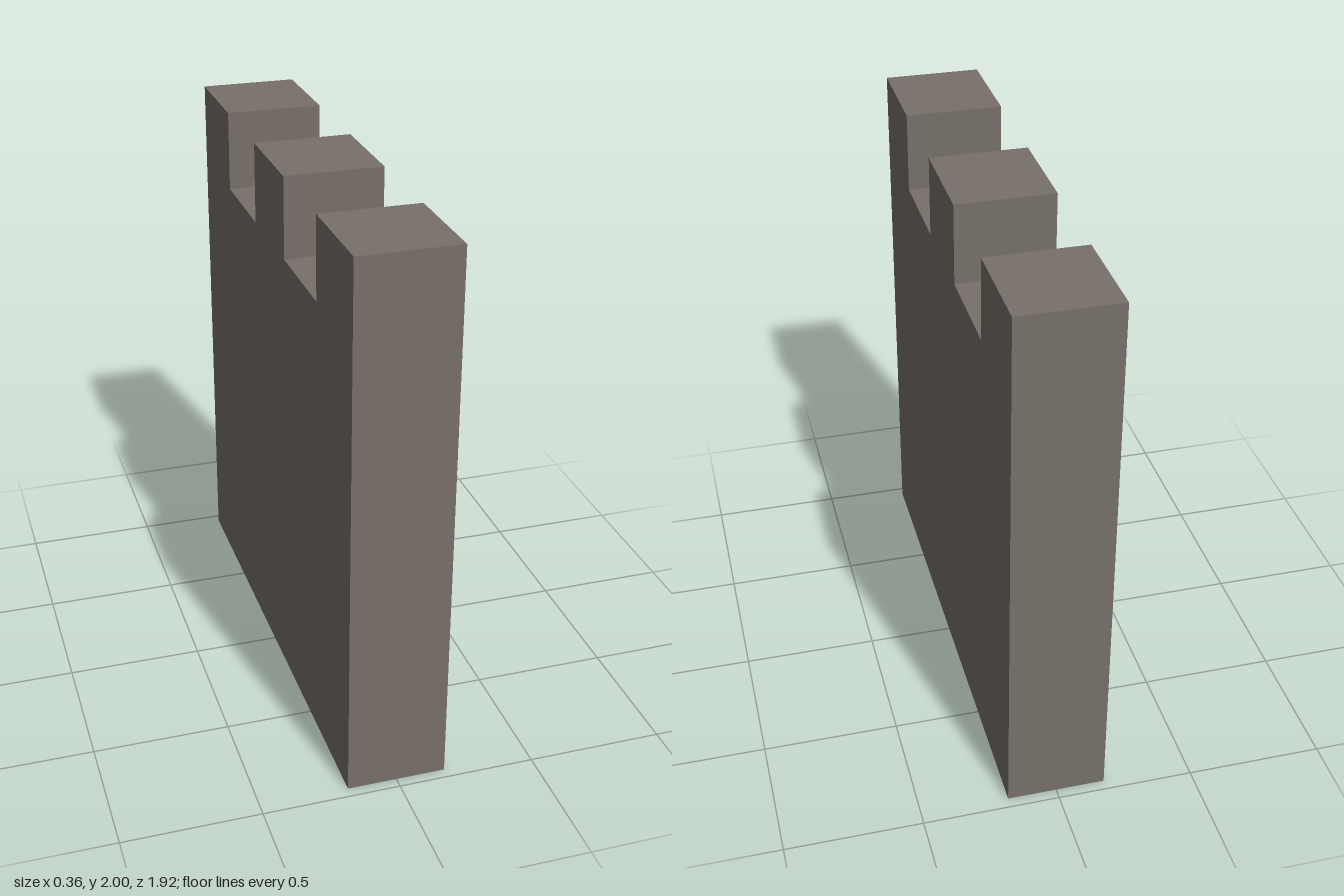
import * as THREE from 'three';

const THICKNESS = 0.36;
const LENGTH = 1.92;
const HEIGHT = 2;
const NOTCH_FLOOR = 1.7;
const BAYS = 5; // merlon, notch, merlon, notch, merlon

export function createModel() {
  const group = new THREE.Group();
  group.name = 'battlementWall';

  const stone = new THREE.MeshStandardMaterial({ color: 0x787069 });
  stone.name = 'stone';

  // Crenellated side profile: along the base, then back over the merlons
  const half = LENGTH / 2;
  const bay = LENGTH / BAYS;
  const profile = new THREE.Shape();
  profile.moveTo(-half, 0);
  profile.lineTo(half, 0);
  for (let i = 0; i < BAYS; i++) {
    const y = i % 2 === 0 ? HEIGHT : NOTCH_FLOOR;
    profile.lineTo(half - i * bay, y);
    profile.lineTo(half - (i + 1) * bay, y);
  }
  profile.closePath();

  // Extrude through the wall thickness and turn the length along z
  const geometry = new THREE.ExtrudeGeometry(profile, { depth: THICKNESS, bevelEnabled: false });
  geometry.translate(0, 0, -THICKNESS / 2);
  geometry.rotateY(Math.PI / 2);

  const wall = new THREE.Mesh(geometry, stone);
  wall.name = 'crenellatedWall';
  group.add(wall);
  return group;
}
